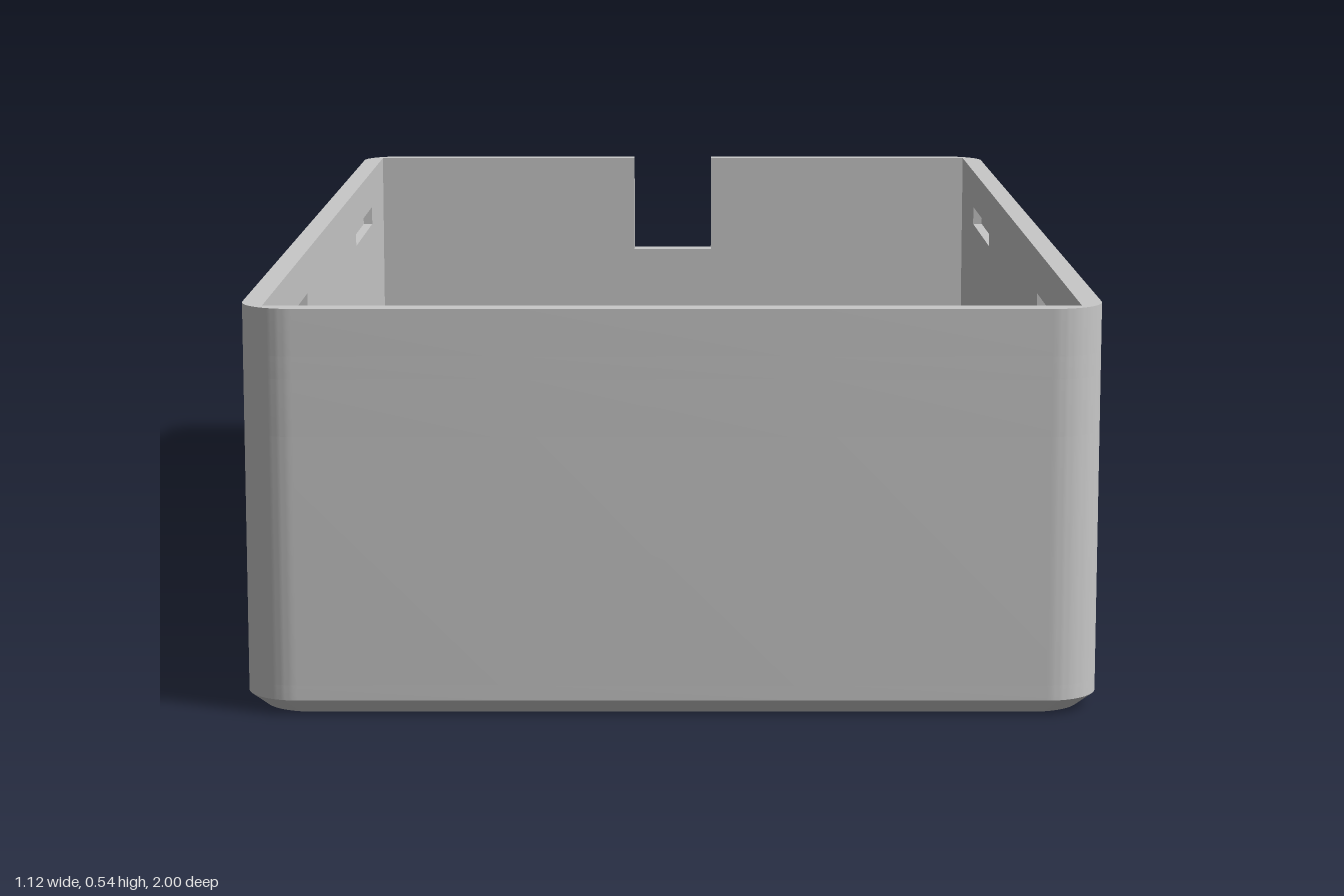
import * as THREE from 'three';
import { toCreasedNormals } from 'three/addons/utils/BufferGeometryUtils.js';

const FLOOR = 0.04, HEIGHT = 0.537, HW = 0.56, HL = 1, IW = 0.53, IL = 0.967, R = 0.07;

// Plans are drawn in x and z; a shape's own y is -z. Holes run counter-clockwise.
const poly = (pts, Type = THREE.Shape) => new Type(pts.map(([x, z]) => new THREE.Vector2(x, -z)));
const rect = (x0, z0, x1, z1) => poly([[x0, z0], [x1, z0], [x1, z1], [x0, z1]]);
const rectHole = (x0, z0, x1, z1) => poly([[x0, z0], [x0, z1], [x1, z1], [x1, z0]], THREE.Path);
const circleHole = (x, z, r) => new THREE.Path().absarc(x, -z, r, 0, Math.PI * 2, false);

// Outer round of the case, clockwise from the back centre
function traceOutline(notch) {
  const s = new THREE.Shape();
  s.moveTo(notch, HL);
  s.lineTo(HW - R, HL);
  s.absarc(HW - R, HL - R, R, Math.PI / 2, 0, true);
  s.absarc(HW - R, R - HL, R, 0, -Math.PI / 2, true);
  s.absarc(R - HW, R - HL, R, -Math.PI / 2, -Math.PI, true);
  s.absarc(R - HW, HL - R, R, Math.PI, Math.PI / 2, true);
  s.lineTo(-notch, HL);
  return s;
}

function slabGeometry(shape, y0, y1) {
  const g = new THREE.ExtrudeGeometry(shape, { depth: y1 - y0, bevelEnabled: false, curveSegments: 10 });
  g.rotateX(-Math.PI / 2);
  g.translate(0, y0, 0);
  return g;
}

export function createModel() {
  const model = new THREE.Group();
  model.name = 'enclosure';
  const grey = new THREE.MeshStandardMaterial({ color: 0xc8c8c8 });
  grey.name = 'grey plastic';

  const add = (name, geometry) => {
    const mesh = new THREE.Mesh(toCreasedNormals(geometry, 0.5), grey);
    mesh.name = name;
    model.add(mesh);
  };
  const slab = (name, shape, y0, y1) => add(name, slabGeometry(shape, y0, y1));
  const box = (name, x0, z0, x1, z1, y0, y1) => slab(name, rect(x0, z0, x1, z1), y0, y1);

  // Floor in two layers: chamfered base, then a layer with a shallow recess
  const windows = () => [
    rectHole(-0.342, -0.857, 0.34, -0.355),
    rectHole(-0.4, -0.075, 0.358, 0.29),
  ];
  const baseShape = traceOutline(0);
  baseShape.holes.push(...windows());
  const base = slabGeometry(baseShape, 0, 0.02);
  const p = base.attributes.position;
  for (let i = 0; i < p.count; i++) {
    const x = p.getX(i), z = p.getZ(i);
    if (p.getY(i) < 0.01 && (Math.abs(x) > 0.45 || Math.abs(z) > 0.9)) {
      p.setX(i, x * (HW - 0.02) / HW);
      p.setZ(i, z * (HL - 0.02) / HL);
    }
  }
  base.computeVertexNormals();
  add('chamferedBase', base);
  const floorShape = traceOutline(0);
  floorShape.holes.push(...windows(), rectHole(-0.24, 0.54, 0.235, 0.87));
  slab('floor', floorShape, 0.02, FLOOR);

  // Walls: closed ring, then layers open at the back notch, one with inner slots
  const ring = traceOutline(0);
  ring.holes.push(rectHole(-IW, -IL, IW, IL));
  slab('lowerWall', ring, FLOOR, 0.37);

  function notchedWall(slotted) {
    const s = traceOutline(0.07);
    const side = [[IW, IL]];
    if (slotted) {
      for (const [a, b] of [[0.72, 0.4], [-0.4, -0.72]]) {
        side.push([IW, a], [IW + 0.015, a], [IW + 0.015, b], [IW, b]);
      }
    }
    side.push([IW, -IL]);
    s.lineTo(-0.07, IL);
    for (const [x, z] of [...side].reverse()) s.lineTo(-x, -z);
    for (const [x, z] of side) s.lineTo(x, -z);
    s.lineTo(0.07, IL);
    s.closePath();
    return s;
  }

  // The inner path runs back-left, front-left, front-right, back-right
  slab('upperWall', notchedWall(false), 0.37, 0.445);
  slab('slottedWall', notchedWall(true), 0.445, 0.475);
  slab('rim', notchedWall(false), 0.475, HEIGHT);

  // Cross dividers and side plates
  box('backDivider', -IW, -0.22, IW, -0.198, FLOOR, 0.21);
  box('frontDivider', -IW, 0.403, IW, 0.418, FLOOR, 0.21);
  for (const s of [-1, 1]) {
    box('sidePlate', Math.min(s * 0.5, s * IW), 0.418, Math.max(s * 0.5, s * IW), 0.875, FLOOR, 0.26);
  }

  // Screw posts joined to the side walls
  for (const s of [-1, 1]) {
    for (const z of [-0.136, 0.338]) {
      const post = new THREE.Shape();
      post.moveTo(s * IW, -z + 0.06);
      post.lineTo(s * 0.468, -z + 0.06);
      post.absarc(s * 0.468, -z, 0.06, Math.PI / 2, -Math.PI / 2, s < 0);
      post.lineTo(s * IW, -z - 0.06);
      post.closePath();
      post.holes.push(circleHole(s * 0.468, z, 0.03));
      slab('screwPost', post, FLOOR, 0.185);
    }
  }

  // Low frame, bosses and stops round the back window
  const frame = rect(-0.38, -IL, 0.375, -0.22);
  frame.holes.push(rectHole(-0.35, -0.96, 0.345, -0.25));
  slab('windowFrame', frame, FLOOR, 0.09);
  for (const x of [-0.291, 0.288]) {
    for (const z of [-0.91, -0.31]) {
      const boss = new THREE.Shape().absarc(x, -z, 0.045, 0, Math.PI * 2);
      boss.holes.push(circleHole(x, z, 0.022));
      slab('windowBoss', boss, FLOOR, 0.068);
    }
  }
  box('backStop', -0.18, -0.96, 0.175, -0.857, FLOOR, 0.065);
  box('frontStop', -0.18, -0.355, 0.175, -0.338, FLOOR, 0.065);

  // U-shaped holder in the front bay with a sloped retaining bar
  slab('holderFrame', poly([
    [-0.32, 0.65], [-0.29, 0.65], [-0.29, 0.92], [0.285, 0.92],
    [0.285, 0.65], [0.315, 0.65], [0.315, 0.95], [-0.32, 0.95],
  ]), FLOOR, 0.13);
  const wedge = new THREE.Shape([[0, 0], [0.037, -0.02], [0.037, 0.03], [0, 0.008]]
    .map(([a, b]) => new THREE.Vector2(a, b)));
  const bar = new THREE.ExtrudeGeometry(wedge, { depth: 0.575, bevelEnabled: false });
  bar.rotateY(-Math.PI / 2);
  bar.translate(0.285, 0.1, 0.883);
  add('retainingBar', bar);

  // Corner clips with small inward hooks
  for (const s of [-1, 1]) {
    const m = pts => poly(pts.map(([x, z]) => [s * x - 0.003, z]));
    slab('cornerClip', m([
      [0.19, 0.44], [0.26, 0.44], [0.26, 0.46], [0.305, 0.46], [0.305, 0.51], [0.34, 0.51],
      [0.34, 0.65], [0.28, 0.65], [0.28, 0.63], [0.305, 0.63], [0.305, 0.53],
      [0.28, 0.53], [0.28, 0.49], [0.19, 0.49],
    ]), FLOOR, 0.18);
    slab('clipHook', m([[0.2, 0.49], [0.27, 0.49], [0.27, 0.51], [0.2, 0.51]]), 0.12, 0.16);
    slab('clipHook', m([[0.28, 0.53], [0.305, 0.53], [0.305, 0.63], [0.28, 0.63]]), 0.12, 0.16);
  }

  return model;
}
